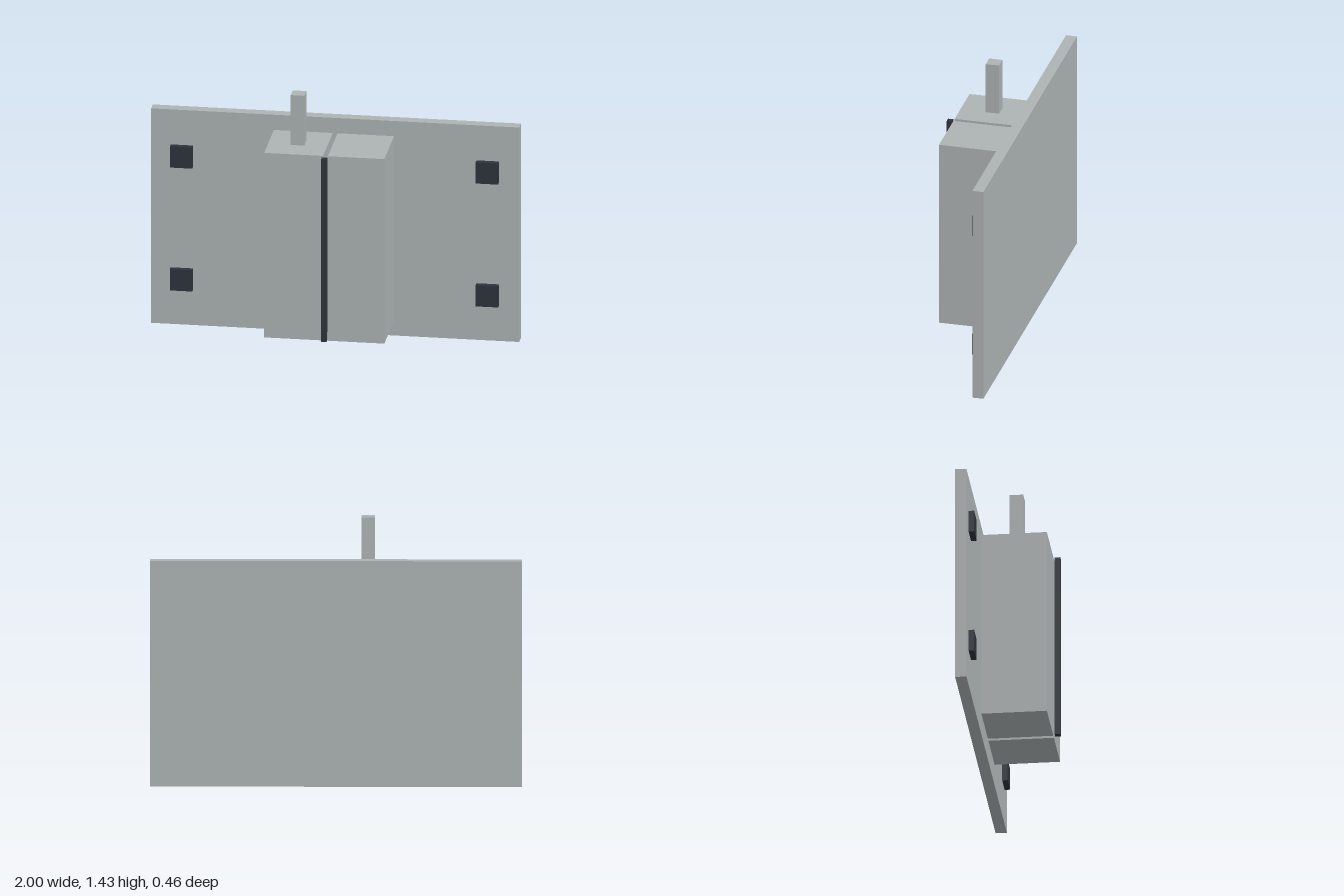
import * as THREE from 'three';

export function createModel() {
  const model = new THREE.Group();
  model.name = 'wallPanelWithCabinet';

  const grey = new THREE.MeshStandardMaterial({ color: 0xadb3b4 });
  grey.name = 'light grey';
  const dark = new THREE.MeshStandardMaterial({ color: 0x2d343b });
  dark.name = 'dark slate';

  // Box given by its extents along each axis
  function box(name, material, [x0, x1], [y0, y1], [z0, z1]) {
    const mesh = new THREE.Mesh(new THREE.BoxGeometry(x1 - x0, y1 - y0, z1 - z0), material);
    mesh.position.set((x0 + x1) / 2, (y0 + y1) / 2, (z0 + z1) / 2);
    mesh.name = name;
    model.add(mesh);
  }

  // Back panel
  box('backPanel', grey, [-1, 1], [0, 1.232], [-0.23, -0.169]);

  // Two cabinet halves with a narrow gap between them
  const cabinetY = [0.088, 1.148], cabinetZ = [-0.161, 0.193];
  box('rightCabinet', grey, [-0.332, -0.012], cabinetY, cabinetZ);
  box('leftCabinet', grey, [0.014, 0.321], cabinetY, cabinetZ);

  // Dark strip floating just ahead of the gap
  box('seamStrip', dark, [-0.018, 0.012], [0.094, 1.142], [0.201, 0.231]);

  // Square post on top of the right half
  box('topPost', grey, [-0.209, -0.135], [1.148, 1.434], [-0.022, 0.052]);

  // Four mounting pads on the panel front
  for (const x of [-0.833, 0.829]) {
    for (const y of [0.264, 0.97]) {
      box('mountingPad', dark, [x - 0.061, x + 0.061], [y - 0.061, y + 0.061], [-0.169, -0.139]);
    }
  }

  return model;
}
